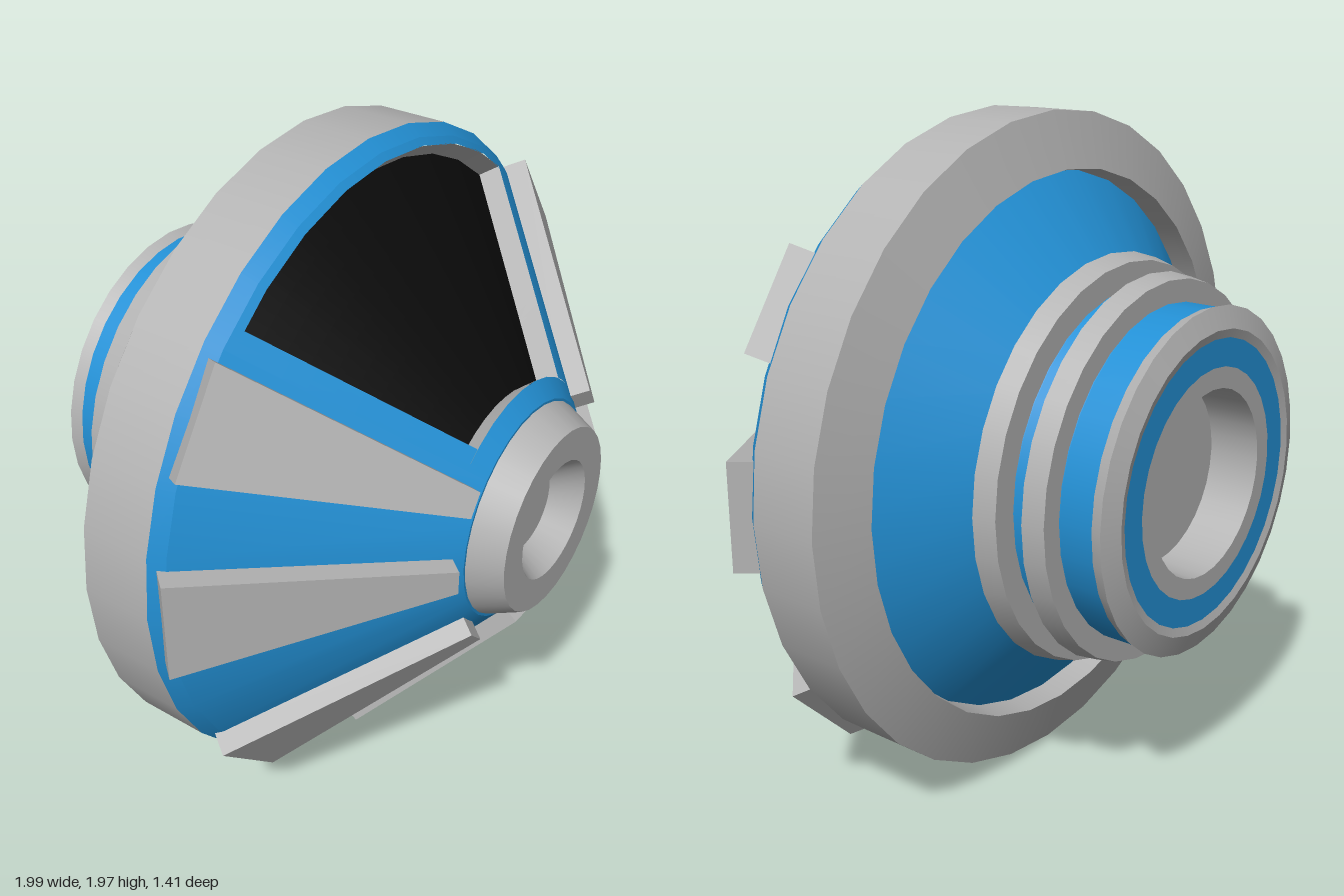
import * as THREE from 'three';
import { mergeGeometries } from 'three/addons/utils/BufferGeometryUtils.js';
import { ParametricGeometry } from 'three/addons/geometries/ParametricGeometry.js';

const SIDES = 32;
const SECTOR = Math.PI / 4;                 // half angle of the window panel
const CONE_IN = 0.33, CONE_OUT = 0.95;      // front cone radii
const WIN_IN = 0.38, WIN_OUT = 0.93;        // window radii on the cone
const RECESS = 0.065;

// Point on the front cone; angle 0 is straight up, depth is measured into the cone
function conePoint(r, angle, depth, target) {
  const rr = r - depth * 0.635;
  const z = 0.1 + (CONE_OUT - r) * 0.8226 - depth * 0.772;
  return target.set(rr * Math.sin(angle), rr * Math.cos(angle), z);
}

// Window sides run parallel to the edges of the panel
const windowAngle = (r) => SECTOR - Math.asin(0.064 / r);
const lerp = THREE.MathUtils.lerp;

export function createModel() {
  const blue = new THREE.MeshStandardMaterial({ color: 0x2391d6 });
  blue.name = 'blue shell';
  const gray = new THREE.MeshStandardMaterial({ color: 0xb4b4b4 });
  gray.name = 'gray metal';
  const black = new THREE.MeshStandardMaterial({ color: 0x0b0b0b });
  black.name = 'black window';

  const model = new THREE.Group();
  model.name = 'model';
  const body = new THREE.Group();
  body.name = 'body';
  body.position.y = 1;
  model.add(body);

  function add(name, geometry, material) {
    const mesh = new THREE.Mesh(geometry, material);
    mesh.name = name;
    body.add(mesh);
    return mesh;
  }

  // Turned part around z from [radius, z] points, with a sharp edge at each point
  function turned(name, material, profile, start = 0, sweep = Math.PI * 2) {
    const segments = Math.round(SIDES * sweep / (Math.PI * 2));
    const strips = [];
    for (let i = 0; i < profile.length - 1; i++) {
      const pair = [profile[i], profile[i + 1]].map(([r, z]) => new THREE.Vector2(r, z));
      strips.push(new THREE.LatheGeometry(pair, segments, start, sweep));
    }
    return add(name, mergeGeometries(strips).rotateX(Math.PI / 2), material);
  }

  // Patch on the cone: f(u, v) returns [radius, angle, depth]
  function patch(name, material, f, slices, stacks) {
    const geometry = new ParametricGeometry(
      (u, v, target) => conePoint(...f(u, v), target), slices, stacks);
    return add(name, geometry, material);
  }

  // Outer rim with chamfered back and inner lip
  turned('outerRim', gray, [[0.81, -0.125], [0.82, -0.205], [0.98, -0.155], [0.98, 0.06]]);
  turned('frontLip', blue, [[0.98, 0.06], [CONE_OUT, 0.1]]);

  // Front cone, leaving out the window panel
  turned('frontCone', blue, [[CONE_OUT, 0.1], [CONE_IN, 0.61]], Math.PI * 1.25, Math.PI * 1.5);
  turned('coneCap', blue, [[CONE_IN, 0.61], [0.2, 0.61]]);

  // Window frame
  const across = (u) => lerp(-SECTOR, SECTOR, u);
  patch('windowFrameBottom', blue, (u, v) => [lerp(CONE_IN, WIN_IN, v), across(u), 0], 8, 1);
  patch('windowFrameTop', blue, (u, v) => [lerp(WIN_OUT, CONE_OUT, v), across(u), 0], 8, 1);
  for (const side of [-1, 1]) {
    patch(side < 0 ? 'windowFrameRight' : 'windowFrameLeft', blue, (u, v) => {
      const r = lerp(WIN_IN, WIN_OUT, v);
      const inner = side * windowAngle(r), outer = side * SECTOR;
      return [r, side < 0 ? lerp(outer, inner, u) : lerp(inner, outer, u), 0];
    }, 2, 10);
  }

  // Recessed window pane and the walls around it
  patch('windowPane', black, (u, v) => {
    const r = lerp(WIN_IN, WIN_OUT, v);
    return [r, lerp(-1, 1, u) * windowAngle(r), RECESS];
  }, 8, 10);
  for (const [name, r, dir] of [['windowWallBottom', WIN_IN, 1], ['windowWallTop', WIN_OUT, -1]]) {
    patch(name, gray, (u, v) => [r, dir * lerp(-1, 1, u) * windowAngle(r), v * RECESS], 8, 1);
  }
  for (const [name, side] of [['windowWallLeft', 1], ['windowWallRight', -1]]) {
    patch(name, gray, (u, v) => {
      const r = side > 0 ? lerp(WIN_IN, WIN_OUT, u) : lerp(WIN_OUT, WIN_IN, u);
      return [r, side * windowAngle(r), v * RECESS];
    }, 10, 1);
  }

  // Front hub with a tapered socket
  turned('frontHub', gray,
    [[0.325, 0.605], [0.278, 0.705], [0.18, 0.705], [0.125, 0.62], [0, 0.62]]);

  // Tapered ribs lying on the cone
  const rib = new THREE.BoxGeometry(1, 1, 1);
  const pos = rib.attributes.position;
  const p = new THREE.Vector3();
  for (let i = 0; i < pos.count; i++) {
    const outer = pos.getY(i) > 0;
    const halfWidth = outer ? 0.155 : 0.037;
    conePoint(outer ? 0.96 : 0.355, 0, pos.getZ(i) > 0 ? -0.055 : 0.02, p);
    pos.setXYZ(i, Math.sign(pos.getX(i)) * halfWidth, p.y, p.z);
  }
  rib.computeVertexNormals();
  for (const degrees of [56.25, 90, 135, 180, 225, 270, 303.75]) {
    add('rib', rib, gray).rotation.z = -THREE.MathUtils.degToRad(degrees);
  }

  // Back cone and stepped neck
  turned('backNeck', blue, [[0.485, -0.65], [0.485, -0.55], [0.5, -0.465],
    [0.51, -0.42], [0.54, -0.335], [0.815, -0.125]]);
  turned('largeFlange', gray, [[0.5, -0.418], [0.585, -0.418], [0.602, -0.355], [0.535, -0.335]]);
  turned('smallFlange', gray, [[0.48, -0.548], [0.55, -0.548], [0.562, -0.485], [0.495, -0.465]]);

  // Back end: chamfered collar, blue face and open socket
  turned('backCollar', gray, [[0.41, -0.7], [0.435, -0.707], [0.497, -0.685], [0.485, -0.65]]);
  turned('backFace', blue, [[0.33, -0.7], [0.41, -0.7]]);
  turned('backSocket', gray, [[0, -0.55], [0.265, -0.55], [0.27, -0.7], [0.33, -0.7]]);

  return model;
}
